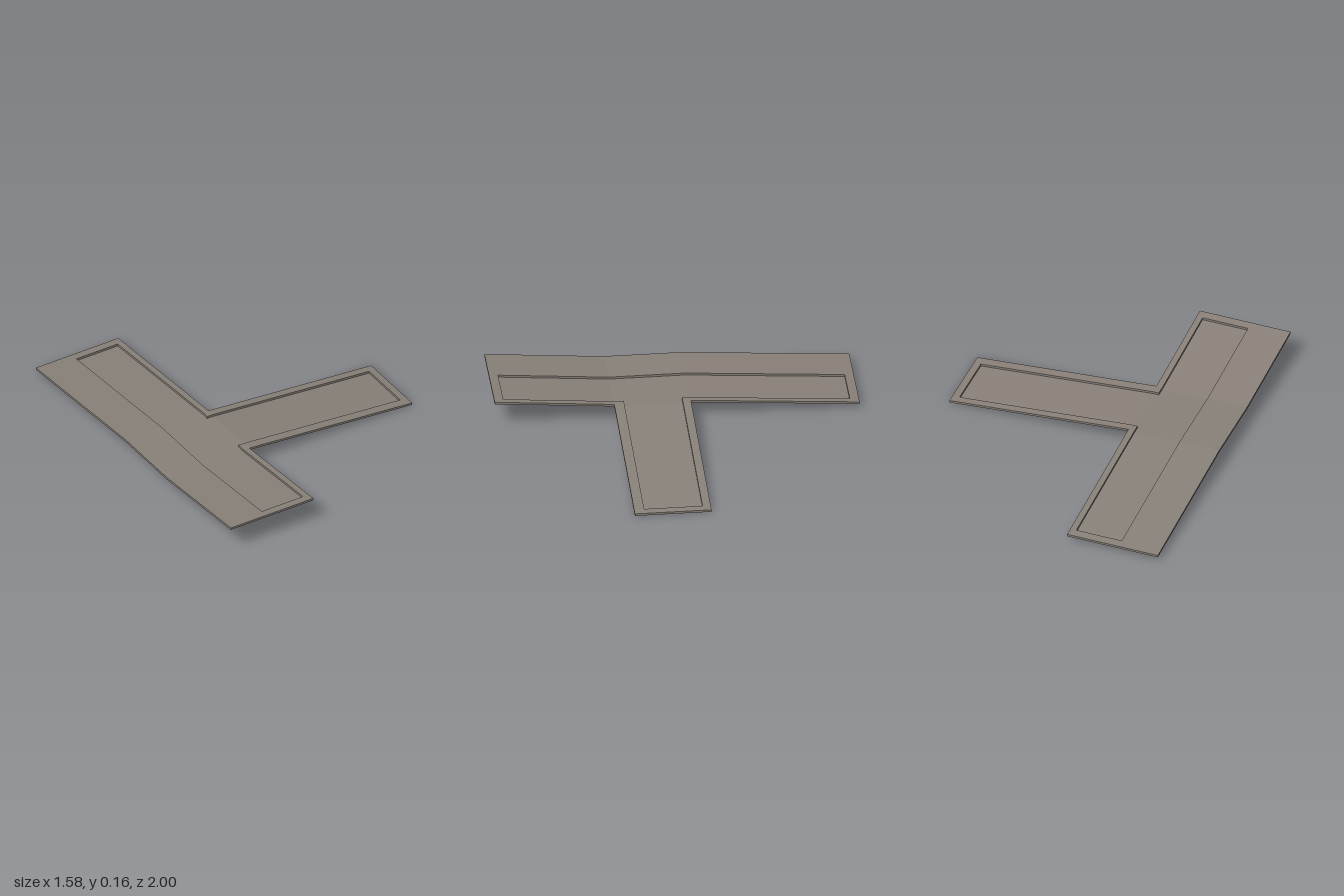
import * as THREE from 'three';

// Plan lines of the T-junction and its levels
const XS = [-0.79, -0.56, -0.295, -0.26, 0.745, 0.787];
const ZS = [-1, -0.95, -0.075, -0.03, 0.29, 0.345, 0.95, 1];
const FLAT = 0.102, STEP = 0.0125;

// Height of the pavement: level at the crossing, each arm sloping away
function height(x, z) {
  if (x > -0.26) return FLAT - (x + 0.26) * (FLAT - STEP) / 1.047;
  if (z > 0.345) return FLAT + (z - 0.345) * 0.054 / 0.655;
  if (z < -0.075) return FLAT + (z + 0.075) * 0.067 / 0.925;
  return FLAT;
}

// Which part covers a point of the plan
function kindAt(x, z) {
  const inside = (a, b, c, d) => x > a && x < b && z > c && z < d;
  if (inside(-0.56, -0.295, -0.95, 0.95) || inside(-0.3, 0.745, -0.03, 0.29)) return 'road';
  if (inside(-0.79, -0.26, -1, 1) || inside(-0.27, 0.787, -0.075, 0.345)) return 'pavement';
  return 'outside';
}

export function createModel() {
  const group = new THREE.Group();
  const stone = new THREE.MeshStandardMaterial({ color: 0x8a827a, side: THREE.DoubleSide, flatShading: true });
  stone.name = 'warm grey stone';
  const parts = { road: [], pavement: [], curb: [], outerEdge: [] };
  const quad = (list, a, b, c, d) => list.push(...a, ...b, ...c, ...a, ...c, ...d);

  // Vertical face along one plan edge, with the upper side on the pavement;
  // (nx, nz) points outwards from the pavement
  function wall(list, x0, z0, x1, z1, nx, nz) {
    const flip = nx * (z1 - z0) - nz * (x1 - x0) > 0;
    const [p, q] = flip ? [[x1, z1], [x0, z0]] : [[x0, z0], [x1, z1]];
    const at = ([x, z], drop) => [x, height(x, z) - drop, z];
    quad(list, at(p, STEP), at(q, STEP), at(q, 0), at(p, 0));
  }

  for (let i = 0; i < XS.length - 1; i++) {
    for (let j = 0; j < ZS.length - 1; j++) {
      const x0 = XS[i], x1 = XS[i + 1], z0 = ZS[j], z1 = ZS[j + 1];
      const mx = (x0 + x1) / 2, mz = (z0 + z1) / 2;
      const kind = kindAt(mx, mz);
      if (kind === 'outside') continue;
      // Walking or driving surface
      const drop = kind === 'road' ? STEP : 0;
      const at = (x, z) => [x, height(x, z) - drop, z];
      quad(parts[kind], at(x0, z0), at(x0, z1), at(x1, z1), at(x1, z0));
      if (kind === 'road') continue;
      // Curbs towards the road and edges towards the outside
      const e = 0.003;
      const edges = [
        [x0, z0, x0, z1, -1, 0, x0 - e, mz], [x1, z0, x1, z1, 1, 0, x1 + e, mz],
        [x0, z0, x1, z0, 0, -1, mx, z0 - e], [x0, z1, x1, z1, 0, 1, mx, z1 + e],
      ];
      for (const [ax, az, bx, bz, nx, nz, px, pz] of edges) {
        const next = kindAt(px, pz);
        if (next !== 'pavement') wall(next === 'road' ? parts.curb : parts.outerEdge, ax, az, bx, bz, nx, nz);
      }
    }
  }

  for (const [name, points] of Object.entries(parts)) {
    const geometry = new THREE.BufferGeometry();
    geometry.setAttribute('position', new THREE.Float32BufferAttribute(points, 3));
    geometry.computeVertexNormals();
    const mesh = new THREE.Mesh(geometry, stone);
    mesh.name = name;
    group.add(mesh);
  }
  return group;
}
